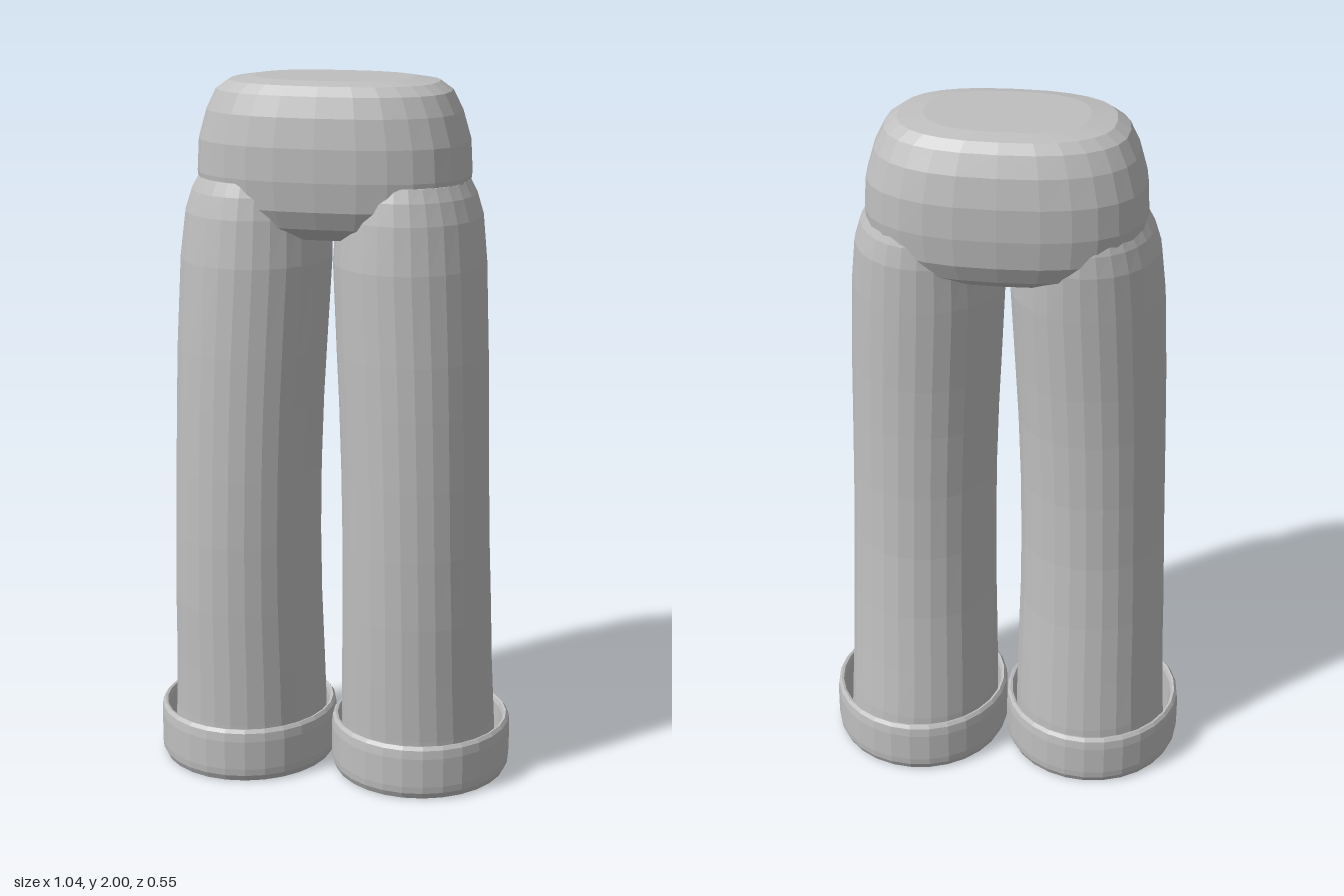
import * as THREE from 'three';

const SIDES = 28;

// Skin stacked oval rings [y, centre x, centre z, radius x, radius z]; power > 2 squares the oval.
function loft(rings, power, capTop, capBottom) {
  const pos = [], index = [];
  const bend = (v) => Math.sign(v) * Math.pow(Math.abs(v), 2 / power);
  for (const [y, cx, cz, rx, rz] of rings) {
    for (let j = 0; j < SIDES; j++) {
      const t = (j / SIDES) * Math.PI * 2;
      pos.push(cx + rx * bend(Math.cos(t)), y, cz + rz * bend(Math.sin(t)));
    }
  }
  for (let i = 0; i < rings.length - 1; i++) {
    for (let j = 0; j < SIDES; j++) {
      const k = (j + 1) % SIDES;
      const a = i * SIDES + j, b = i * SIDES + k;
      index.push(a, a + SIDES, b, b, a + SIDES, b + SIDES);
    }
  }
  const cap = (i, up) => {
    const [y, cx, cz] = rings[i];
    const centre = pos.length / 3;
    pos.push(cx, y, cz);
    for (let j = 0; j < SIDES; j++) {
      const a = i * SIDES + j, b = i * SIDES + ((j + 1) % SIDES);
      if (up) index.push(centre, b, a);
      else index.push(centre, a, b);
    }
  };
  if (capTop) cap(rings.length - 1, true);
  if (capBottom) cap(0, false);
  const geometry = new THREE.BufferGeometry();
  geometry.setAttribute('position', new THREE.Float32BufferAttribute(pos, 3));
  geometry.setIndex(index);
  geometry.computeVertexNormals();
  return geometry;
}

export function createModel() {
  const model = new THREE.Group();
  model.name = 'trousers';
  const cloth = new THREE.MeshStandardMaterial({ color: 0xbfbfbf, flatShading: true, side: THREE.DoubleSide });
  cloth.name = 'grey cloth';

  const add = (name, geometry, parent) => {
    const mesh = new THREE.Mesh(geometry, cloth);
    mesh.name = name;
    parent.add(mesh);
    return mesh;
  };

  // Hips: rounded block tapering underneath, almost flat on top
  add('hips', loft([
    [1.572, 0, -0.005, 0.29, 0.16],
    [1.61, 0, -0.005, 0.34, 0.215],
    [1.66, 0, -0.005, 0.37, 0.238],
    [1.74, 0, -0.005, 0.38, 0.247],
    [1.83, 0, -0.005, 0.375, 0.246],
    [1.91, 0, -0.003, 0.352, 0.233],
    [1.965, 0, 0, 0.325, 0.212],
    [1.99, 0, 0, 0.29, 0.19],
    [2.0, 0, 0, 0.22, 0.145],
  ], 2.5, true, true), model);

  // Hollow leg, bowed forward at the knee
  const legRings = [
    [0.02, 0.256, 0, 0.225, 0.236],
    [0.16, 0.252, 0.004, 0.222, 0.235],
    [0.32, 0.25, 0.015, 0.217, 0.231],
    [0.5, 0.25, 0.027, 0.213, 0.227],
    [0.7, 0.247, 0.035, 0.209, 0.224],
    [0.9, 0.243, 0.037, 0.208, 0.223],
    [1.1, 0.237, 0.035, 0.209, 0.224],
    [1.25, 0.231, 0.031, 0.211, 0.226],
    [1.5, 0.219, 0.02, 0.212, 0.23],
    [1.63, 0.215, 0.01, 0.202, 0.227],
    [1.69, 0.212, 0.006, 0.186, 0.219],
    [1.727, 0.21, 0.004, 0.168, 0.207],
  ];

  // Loose cuff: thin closed band with bevelled rims
  const cuffProfile = [
    [0.245, 0.01], [0.254, 0], [0.264, 0.002], [0.273, 0.02], [0.275, 0.04], [0.275, 0.125],
    [0.272, 0.15], [0.264, 0.16], [0.257, 0.158], [0.252, 0.145], [0.245, 0.01],
  ].map(([r, y]) => new THREE.Vector2(r, y));

  for (const side of [1, -1]) {
    const group = new THREE.Group();
    group.name = side > 0 ? 'leftLeg' : 'rightLeg';
    const rings = legRings.map(([y, cx, ...rest]) => [y, side * cx, ...rest]);
    add('leg', loft(rings, 2, true, false), group);
    const cuff = add('cuff', new THREE.LatheGeometry(cuffProfile, SIDES), group);
    cuff.scale.x = 0.945;
    cuff.position.x = side * 0.26;
    model.add(group);
  }
  return model;
}
